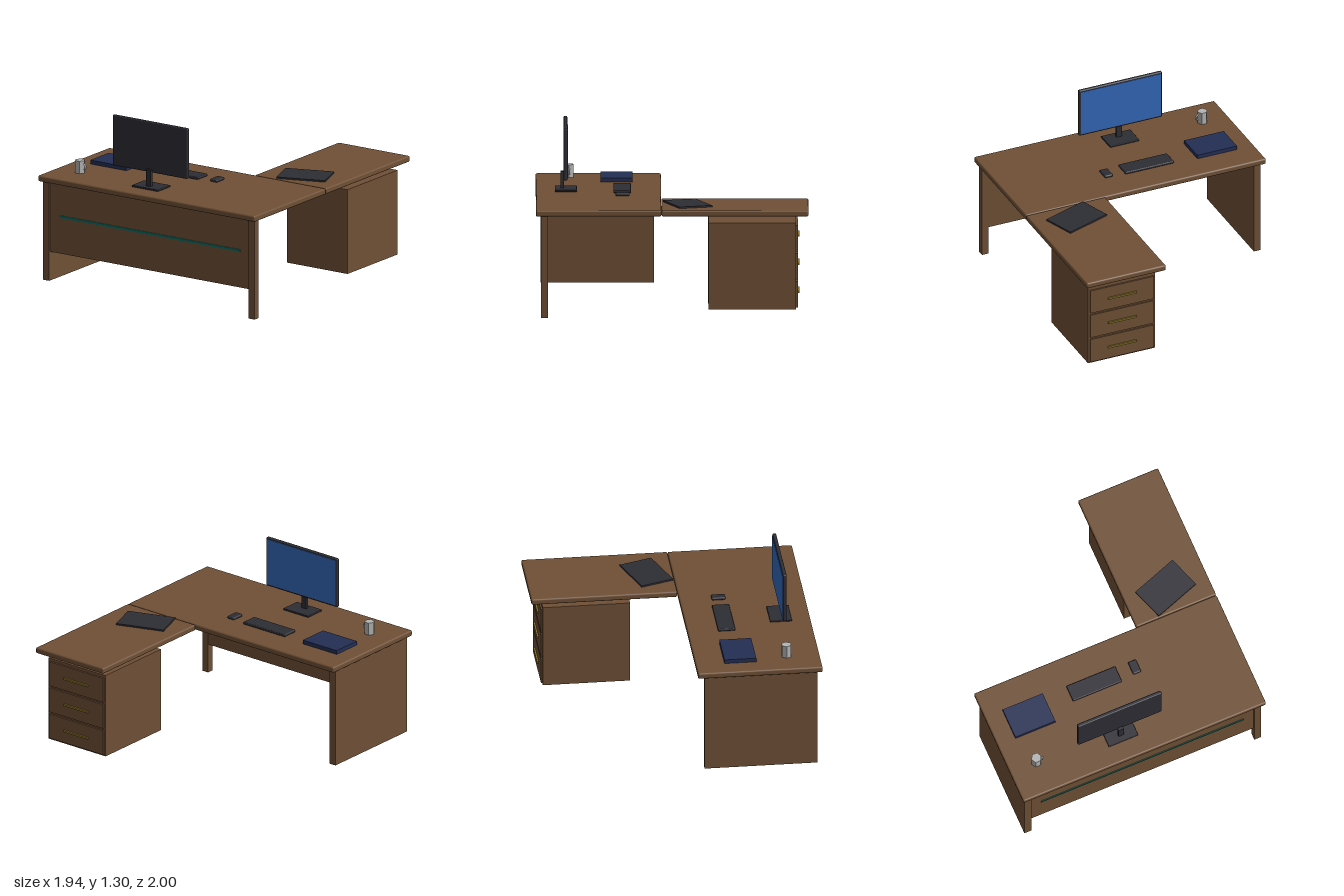
import * as THREE from 'three';
import { RoundedBoxGeometry } from 'three/addons/geometries/RoundedBoxGeometry.js';

export function createModel() {
  const root = new THREE.Group();
  root.name = 'officeDesk';

  const material = (name, color) => {
    const m = new THREE.MeshStandardMaterial({ color });
    m.name = name;
    return m;
  };
  const wood = material('wood', 0x6f5035);
  const charcoal = material('charcoal', 0x2d2d35);
  const screenBlue = material('screenBlue', 0x3367b8);
  const navy = material('navy', 0x232e54);
  const teal = material('teal', 0x0f6b62);
  const brass = material('brass', 0x8a7428);
  const ceramic = new THREE.MeshStandardMaterial({ color: 0xb4b4b4 });
  ceramic.name = 'ceramic';
  ceramic.flatShading = true;

  const add = (name, geometry, mat, x, y, z, parent = root) => {
    const mesh = new THREE.Mesh(geometry, mat);
    mesh.name = name;
    mesh.position.set(x, y, z);
    parent.add(mesh);
    return mesh;
  };
  // Box given by its lower and upper limits; a radius rounds its edges
  const block = (name, mat, [x0, x1], [y0, y1], [z0, z1], radius = 0, parent = root) => {
    const size = [x1 - x0, y1 - y0, z1 - z0];
    const geometry = radius ? new RoundedBoxGeometry(...size, 2, radius) : new THREE.BoxGeometry(...size);
    return add(name, geometry, mat, (x0 + x1) / 2, (y0 + y1) / 2, (z0 + z1) / 2, parent);
  };

  // Desk tops
  block('mainTop', wood, [-0.97, 0.97], [0.755, 0.8], [0.08, 1], 0.012);
  block('returnTop', wood, [0.33, 0.97], [0.755, 0.8], [-1, 0.078], 0.012);

  // Supports and front panel
  block('sidePanel', wood, [-0.948, -0.893], [0, 0.756], [0.13, 0.963]);
  block('cornerPost', wood, [0.891, 0.943], [0, 0.756], [0.913, 0.963]);
  block('frontPanel', wood, [-0.893, 0.891], [0.22, 0.756], [0.92, 0.95]);
  block('accentStrip', teal, [-0.81, 0.81], [0.492, 0.51], [0.95, 0.956]);

  // Drawer cabinet under the return
  const cabinet = new THREE.Group();
  cabinet.name = 'drawerCabinet';
  root.add(cabinet);
  block('cabinetBody', wood, [0.38, 0.92], [0.06, 0.703], [-0.91, -0.265], 0, cabinet);
  for (let i = 0; i < 3; i++) {
    const y = 0.168 + i * 0.208;
    block('drawerFront', wood, [0.395, 0.905], [y - 0.096, y + 0.096], [-0.922, -0.91], 0, cabinet);
    block('drawerHandle', brass, [0.535, 0.765], [y - 0.007, y + 0.007], [-0.935, -0.922], 0, cabinet);
  }

  // Monitor, with its screen facing the user at the back
  const monitor = new THREE.Group();
  monitor.name = 'monitor';
  root.add(monitor);
  block('monitorCase', charcoal, [-0.445, 0.225], [0.915, 1.3], [0.768, 0.796], 0.009, monitor);
  block('screen', screenBlue, [-0.432, 0.212], [0.93, 1.287], [0.765, 0.769], 0, monitor);
  block('monitorNeck', charcoal, [-0.131, -0.089], [0.812, 0.94], [0.793, 0.817], 0, monitor);
  block('monitorBase', charcoal, [-0.228, 0.008], [0.8, 0.814], [0.698, 0.86], 0.004, monitor);

  // Keyboard and mouse
  block('keyboard', charcoal, [-0.328, 0.064], [0.8, 0.82], [0.302, 0.43], 0.007);
  block('mouse', charcoal, [0.16, 0.225], [0.8, 0.822], [0.312, 0.415], 0.01);

  // Book and angled folder
  block('book', navy, [-0.83, -0.51], [0.8, 0.83], [0.29, 0.525]);
  const folder = add('folder', new THREE.BoxGeometry(0.37, 0.012, 0.255), charcoal, 0.648, 0.806, -0.113);
  folder.rotation.y = 0.335;

  // Six-sided mug and its handle
  const mug = new THREE.Group();
  mug.name = 'mug';
  mug.position.set(-0.762, 0.8, 0.755);
  root.add(mug);
  const cup = new THREE.CylinderGeometry(0.039, 0.039, 0.095, 6);
  cup.rotateY(Math.PI / 2);
  add('cup', cup, ceramic, 0, 0.0475, 0, mug);
  const loop = new THREE.TorusGeometry(0.024, 0.008, 4, 6, Math.PI);
  loop.rotateZ(-Math.PI / 2);
  add('mugHandle', loop, ceramic, 0.026, 0.048, 0, mug);

  return root;
}
